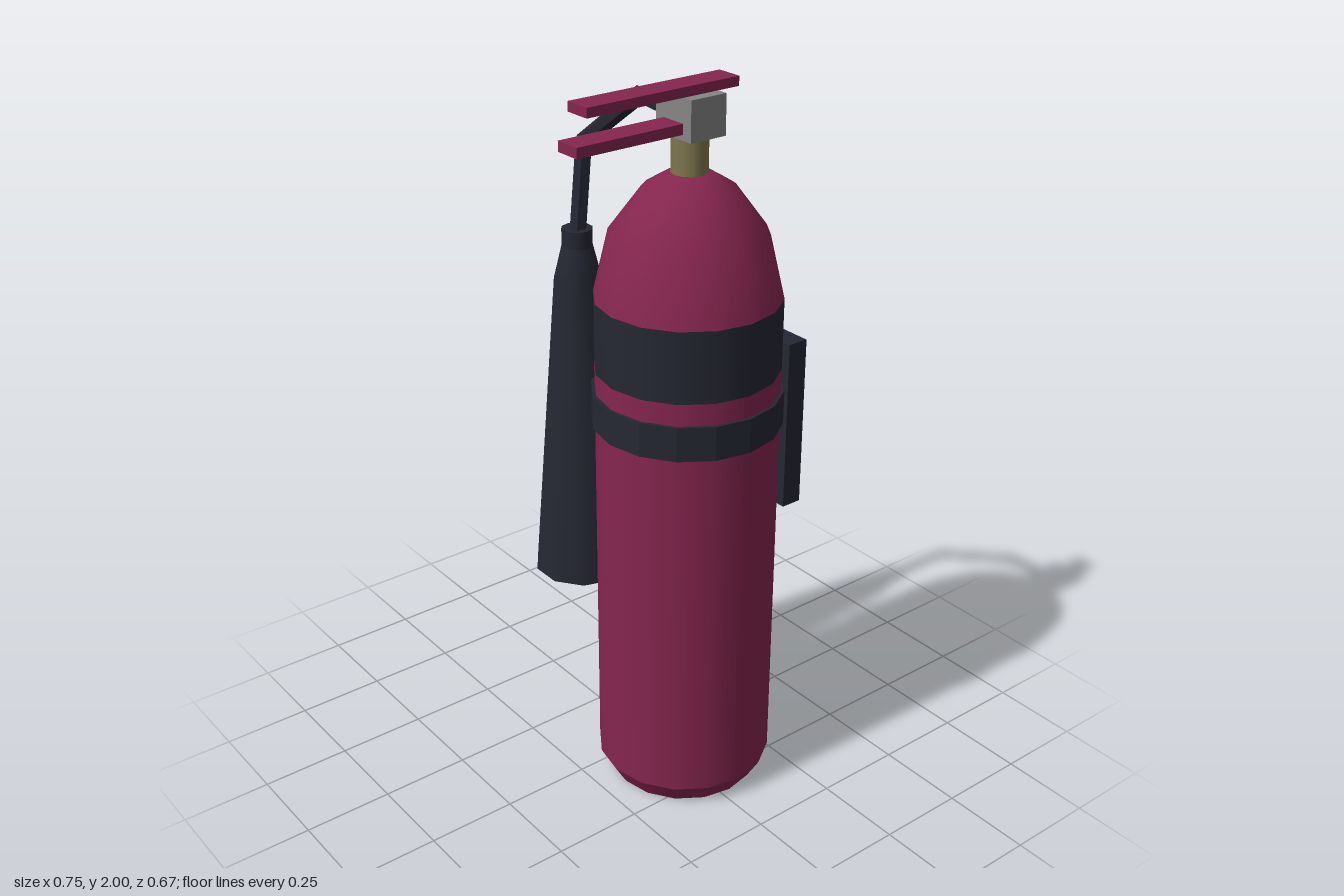
import * as THREE from 'three';

const material = (name, color, extra = {}) => {
  const m = new THREE.MeshStandardMaterial({ color, ...extra });
  m.name = name;
  return m;
};

export function createModel() {
  const model = new THREE.Group();
  model.name = 'fireExtinguisher';
  const red = material('crimson paint', 0x85264e);
  const dark = material('dark rubber', 0x252733, { side: THREE.DoubleSide });
  const grey = material('grey metal', 0x858587);
  const brass = material('brass', 0x7f7650);

  const add = (name, geometry, mat, x = 0, y = 0, z = 0, parent = model) => {
    const mesh = new THREE.Mesh(geometry, mat);
    mesh.name = name;
    mesh.position.set(x, y, z);
    parent.add(mesh);
    return mesh;
  };
  const lathe = (points, sides) =>
    new THREE.LatheGeometry(points.map(([r, y]) => new THREE.Vector2(r, y)), sides);
  // Box given by its limits on each axis
  const box = (name, mat, [x0, x1], [y0, y1], [z0, z1], parent) =>
    add(name, new THREE.BoxGeometry(x1 - x0, y1 - y0, z1 - z0), mat,
      (x0 + x1) / 2, (y0 + y1) / 2, (z0 + z1) / 2, parent);

  // Tank, in slices so that colours and edges stay crisp
  const tank = new THREE.Group();
  tank.name = 'tank';
  tank.position.set(0.12, 0, -0.03);
  model.add(tank);
  const R = 0.245;
  const slices = [
    ['tankBase', red, [[0, 0], [0.21, 0]]],
    ['tankBevel', red, [[0.21, 0], [R, 0.06]]],
    ['tankWall', red, [[R, 0.06], [R, 1.255]]],
    ['labelBand', dark, [[R, 1.255], [R, 1.45]]],
    ['tankDome', red, [[R, 1.45], [0.205, 1.62], [0.12, 1.735], [0.055, 1.775], [0, 1.775]]],
  ];
  for (const [name, mat, points] of slices) add(name, lathe(points, 16), mat, 0, 0, 0, tank);

  // Mounting strap, with closed upper and lower edges
  const strap = lathe([[R - 0.003, 1.1], [0.254, 1.1], [0.254, 1.195], [R - 0.003, 1.195]], 16).toNonIndexed();
  strap.computeVertexNormals();
  add('strap', strap, dark, 0, 0, 0, tank);

  // Neck, valve and levers
  add('neck', new THREE.CylinderGeometry(0.048, 0.048, 0.1, 12), brass, 0, 1.822, 0, tank);
  box('valveHead', grey, [0.053, 0.187], [1.87, 1.975], [-0.087, 0.022]);
  box('upperLever', red, [0.083, 0.157], [1.975, 2], [-0.152, 0.305]);
  box('carryHandle', red, [0.083, 0.157], [1.885, 1.912], [0, 0.335]);

  // Wall bracket: a shallow tray open to the back
  const bracket = new THREE.Group();
  bracket.name = 'wallBracket';
  model.add(bracket);
  const zs = [-0.335, -0.275], rim = 0.018;
  box('bracketPlate', dark, [0, 0.243], [0.8, 1.285], [-0.281, -0.275], bracket);
  for (const x of [0, 0.243 - rim]) box('bracketSide', dark, [x, x + rim], [0.8, 1.285], zs, bracket);
  for (const y of [0.8, 1.285 - rim]) box('bracketEnd', dark, [rim, 0.243 - rim], [y, y + rim], zs, bracket);

  // Discharge horn with a shallow mouth, and its collar
  const horn = new THREE.Group();
  horn.name = 'hornAssembly';
  horn.position.set(-0.236, 0, 0.06);
  horn.rotation.y = Math.PI / 2;
  model.add(horn);
  add('horn', lathe([[0.141, 0.525], [0.068, 1.4], [0.043, 1.5]], 10), dark, 0, 0, 0, horn);
  add('hornMouth', lathe([[0, 0.55], [0.13, 0.55], [0.141, 0.525]], 10), dark, 0, 0, 0, horn);
  add('hornCollar', new THREE.CylinderGeometry(0.043, 0.043, 0.06, 10), dark, 0, 1.518, 0, horn);

  // Hose: straight runs with mitred bends, one tube ring per point
  const path = new THREE.CatmullRomCurve3([
    [0.07, 1.905, -0.045], [-0.06, 1.93, -0.015], [-0.232, 1.782, 0.035], [-0.234, 1.52, 0.06],
  ].map((p) => new THREE.Vector3(...p)), false, 'catmullrom');
  path.getPointAt = path.getPoint;
  path.getTangentAt = path.getTangent;
  const hose = new THREE.TubeGeometry(path, 3, 0.024, 6).toNonIndexed();
  hose.computeVertexNormals();
  add('hose', hose, dark);

  return model;
}
